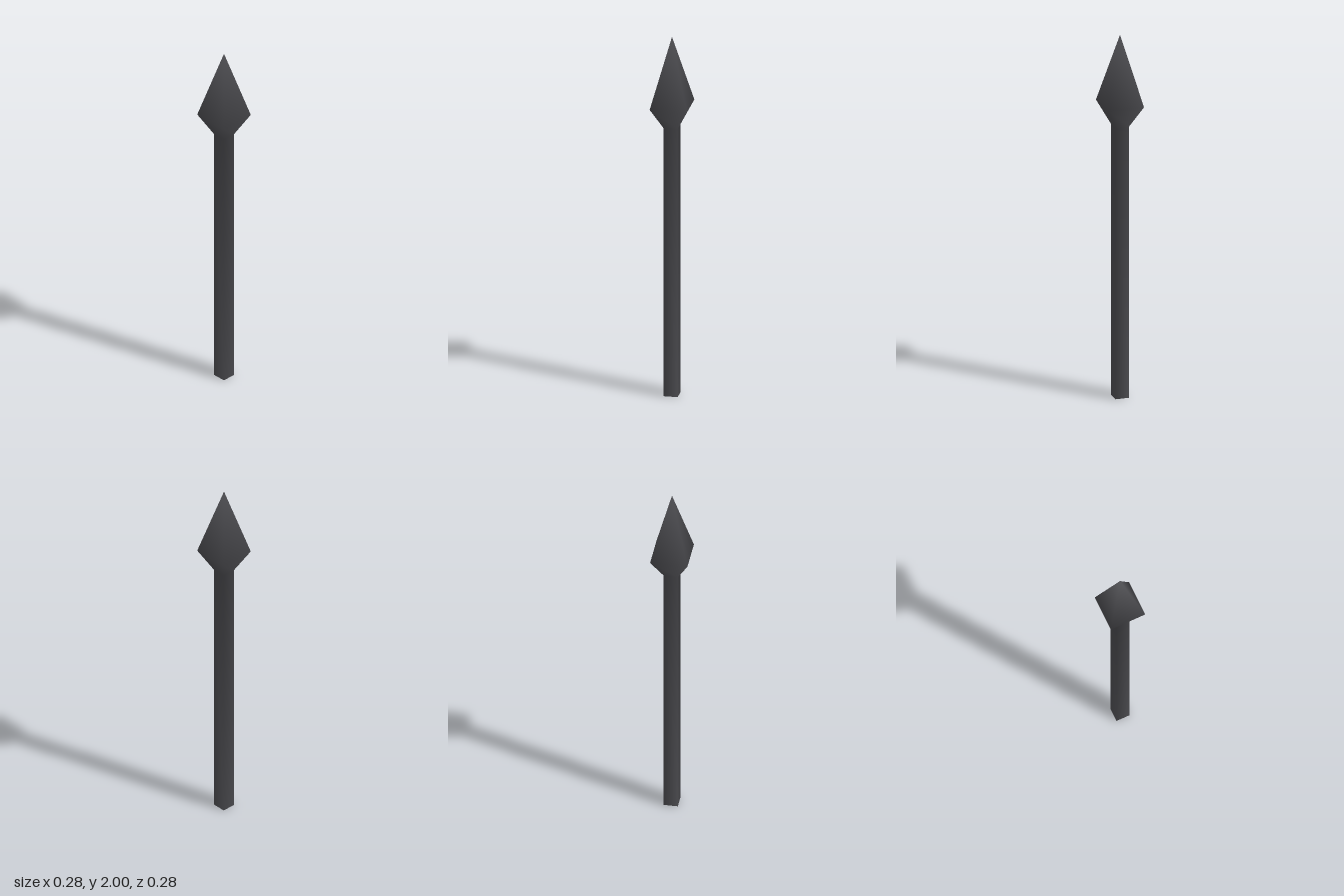
import * as THREE from 'three';

// Four-sided lathe; each ring is [radius, height, vertical part of its smooth normal]
function diamondLathe(rings) {
  const geo = new THREE.LatheGeometry(rings.map(([r, y]) => new THREE.Vector2(r, y)), 4);
  const normal = geo.attributes.normal;
  for (let i = 0; i < normal.count; i++) {
    const ny = rings[i % rings.length][2];
    const phi = Math.floor(i / rings.length) * Math.PI / 2;
    const flat = Math.sqrt(1 - ny * ny);
    normal.setXYZ(i, Math.sin(phi) * flat, ny, Math.cos(phi) * flat);
  }
  return geo;
}

export function createModel() {
  const model = new THREE.Group();
  model.name = 'spear';
  const darkIron = new THREE.MeshStandardMaterial({ color: 0x4a4a4e });
  darkIron.name = 'darkIron';

  const add = (name, geo) => {
    const mesh = new THREE.Mesh(geo, darkIron);
    mesh.name = name;
    model.add(mesh);
    return mesh;
  };

  const neck = [0.053, 1.5, -0.31];

  // Straight square shaft, corners on the axes
  add('shaft', diamondLathe([[0.053, 0, 0], neck]));

  // Pointed head flaring out from the neck
  add('head', diamondLathe([neck, [0.14, 1.62, -0.14], [0, 2, 1]]));

  // Flat end of the shaft
  add('shaftEnd', new THREE.CircleGeometry(0.053, 4).rotateX(Math.PI / 2));

  return model;
}
